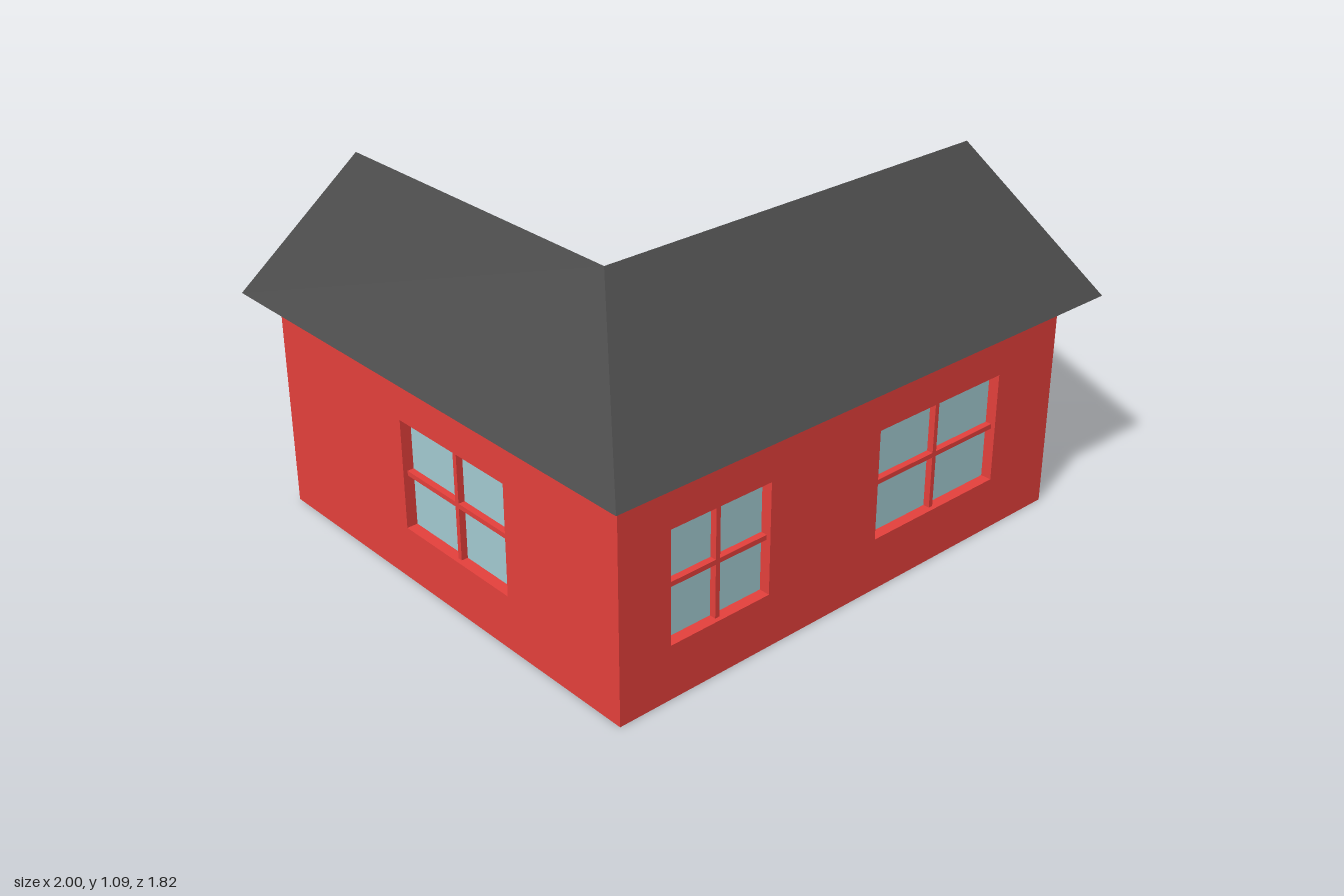
import * as THREE from 'three';

const mat = (color) => new THREE.MeshStandardMaterial({ color, flatShading: true });
const RED = mat(0xe5403c), GLASS = mat(0xa3cbd2), ROOF = mat(0x484848), WOOD = mat(0x824a0c), BRASS = mat(0xc8a83c);

const DEPTH = 0.04;             // wall thickness
const WALL_TOP = 0.745;         // tucked slightly into the roof
const EAVE = 0.73, RIDGE = 1.09, APEX = 1.045;
const RIDGE_X = -0.545, RIDGE_Z = 0.33;
const SILL = 0.18, HEAD = 0.55;

function box(name, material, x0, x1, y0, y1, z0, z1) {
  const mesh = new THREE.Mesh(new THREE.BoxGeometry(x1 - x0, y1 - y0, z1 - z0), material);
  mesh.position.set((x0 + x1) / 2, (y0 + y1) / 2, (z0 + z1) / 2);
  mesh.name = name;
  return mesh;
}

// Four-pane window set at the back of its opening
function makeWindow(a, b) {
  const g = new THREE.Group();
  g.name = 'window';
  const mid = (a + b) / 2, my = (SILL + HEAD) / 2, t = 0.008;
  g.add(
    box('glass', GLASS, a - 0.005, b + 0.005, SILL - 0.005, HEAD + 0.005, -DEPTH - 0.008, -DEPTH + 0.003),
    box('verticalBar', RED, mid - t, mid + t, SILL, HEAD, -DEPTH, -0.015),
    box('horizontalBar', RED, a, b, my - t, my + t, -DEPTH, -0.015)
  );
  return g;
}

// Recessed door with a square knob
function makeDoor(a, b, top) {
  const g = new THREE.Group();
  g.name = 'door';
  g.add(
    box('doorPanel', WOOD, a - 0.005, b + 0.005, 0.001, top + 0.005, -DEPTH - 0.008, -DEPTH + 0.003),
    box('doorKnob', BRASS, a + 0.025, a + 0.06, 0.165, 0.2, -DEPTH, -DEPTH + 0.03)
  );
  return g;
}

// Wall panel seen from outside: u runs to the right, openings are cut through
function makeWall({ name, from, to, turn, at, ridge, windows = [], door }) {
  const g = new THREE.Group();
  g.name = name;
  const pts = [[from, 0]];
  if (door) pts.push([door[0], 0], [door[0], door[2]], [door[1], door[2]], [door[1], 0]);
  pts.push([to, 0], [to, WALL_TOP]);
  if (ridge !== undefined) pts.push([ridge, APEX]);
  pts.push([from, WALL_TOP]);
  const shape = new THREE.Shape(pts.map(([x, y]) => new THREE.Vector2(x, y)));
  for (const [a, b] of windows) {
    shape.holes.push(new THREE.Path([[a, SILL], [a, HEAD], [b, HEAD], [b, SILL]].map(([x, y]) => new THREE.Vector2(x, y))));
    g.add(makeWindow(a, b));
  }
  if (door) g.add(makeDoor(...door));
  const geo = new THREE.ExtrudeGeometry(shape, { depth: DEPTH, bevelEnabled: false });
  geo.translate(0, 0, -DEPTH);
  const panel = new THREE.Mesh(geo, RED);
  panel.name = 'wallPanel';
  g.add(panel);
  g.rotation.y = turn * Math.PI / 2;
  g.position.set(at[0], 0, at[1]);
  return g;
}

// Roof: one gable section swept round the corner with a mitre
function makeRoof() {
  const inner = 0.875;
  const profile = [[1, EAVE], [0, RIDGE], [-1, EAVE], [-inner, EAVE], [0, APEX], [inner, EAVE]];
  const px = (a) => RIDGE_X - a * 0.455, pz = (a) => RIDGE_Z + a * 0.58;
  const sections = [
    profile.map(([a, y]) => [1, y, pz(a)]),
    profile.map(([a, y]) => [px(a), y, pz(a)]),
    profile.map(([a, y]) => [px(a), y, -0.91])
  ];
  const pos = [];
  const quad = (a, b, c, d) => pos.push(...a, ...b, ...c, ...a, ...c, ...d);
  for (let s = 0; s < 2; s++) {
    const p = sections[s], q = sections[s + 1];
    for (let j = 0; j < 6; j++) {
      const k = (j + 1) % 6;
      quad(q[j], p[j], p[k], q[k]);
    }
  }
  // Gable ends
  const [e, , f] = sections;
  quad(e[5], e[4], e[1], e[0]);
  quad(e[4], e[3], e[2], e[1]);
  quad(f[0], f[1], f[4], f[5]);
  quad(f[1], f[2], f[3], f[4]);
  const geo = new THREE.BufferGeometry();
  geo.setAttribute('position', new THREE.Float32BufferAttribute(pos, 3));
  geo.computeVertexNormals();
  const roof = new THREE.Mesh(geo, ROOF);
  roof.name = 'roof';
  return roof;
}

// L-shaped floor slab
function makeFloor() {
  const outline = [[-0.93, -0.8], [-0.16, -0.8], [-0.16, -0.15], [0.885, -0.15], [0.885, 0.83], [-0.93, 0.83]];
  const shape = new THREE.Shape(outline.map(([x, z]) => new THREE.Vector2(x, z)));
  const geo = new THREE.ExtrudeGeometry(shape, { depth: 0.001, bevelEnabled: false });
  geo.rotateX(Math.PI / 2).translate(0, 0.001, 0);
  const floor = new THREE.Mesh(geo, RED);
  floor.name = 'floor';
  return floor;
}

export function createModel() {
  const house = new THREE.Group();
  house.name = 'house';
  const walls = [
    { name: 'frontWall', from: -0.93, to: 0.885, turn: 0, at: [0, 0.83], windows: [[-0.745, -0.37], [0.075, 0.615]] },
    { name: 'leftGableWall', from: -0.83, to: 0.15, turn: 1, at: [0.885, 0], ridge: -RIDGE_Z, windows: [[-0.59, -0.1]] },
    { name: 'backWall', from: -0.885, to: 0.16, turn: 2, at: [0, -0.15], windows: [[-0.625, -0.085]] },
    { name: 'doorWall', from: 0.15, to: 0.8, turn: 1, at: [-0.16, 0], door: [0.39, 0.64, 0.365] },
    { name: 'backGableWall', from: 0.16, to: 0.93, turn: 2, at: [0, -0.8], ridge: -RIDGE_X, windows: [[0.36, 0.735]] },
    { name: 'rightWall', from: -0.8, to: 0.83, turn: -1, at: [-0.93, 0], windows: [[-0.16, 0.34]] }
  ];
  for (const wall of walls) house.add(makeWall(wall));
  house.add(makeFloor(), makeRoof());
  return house;
}
